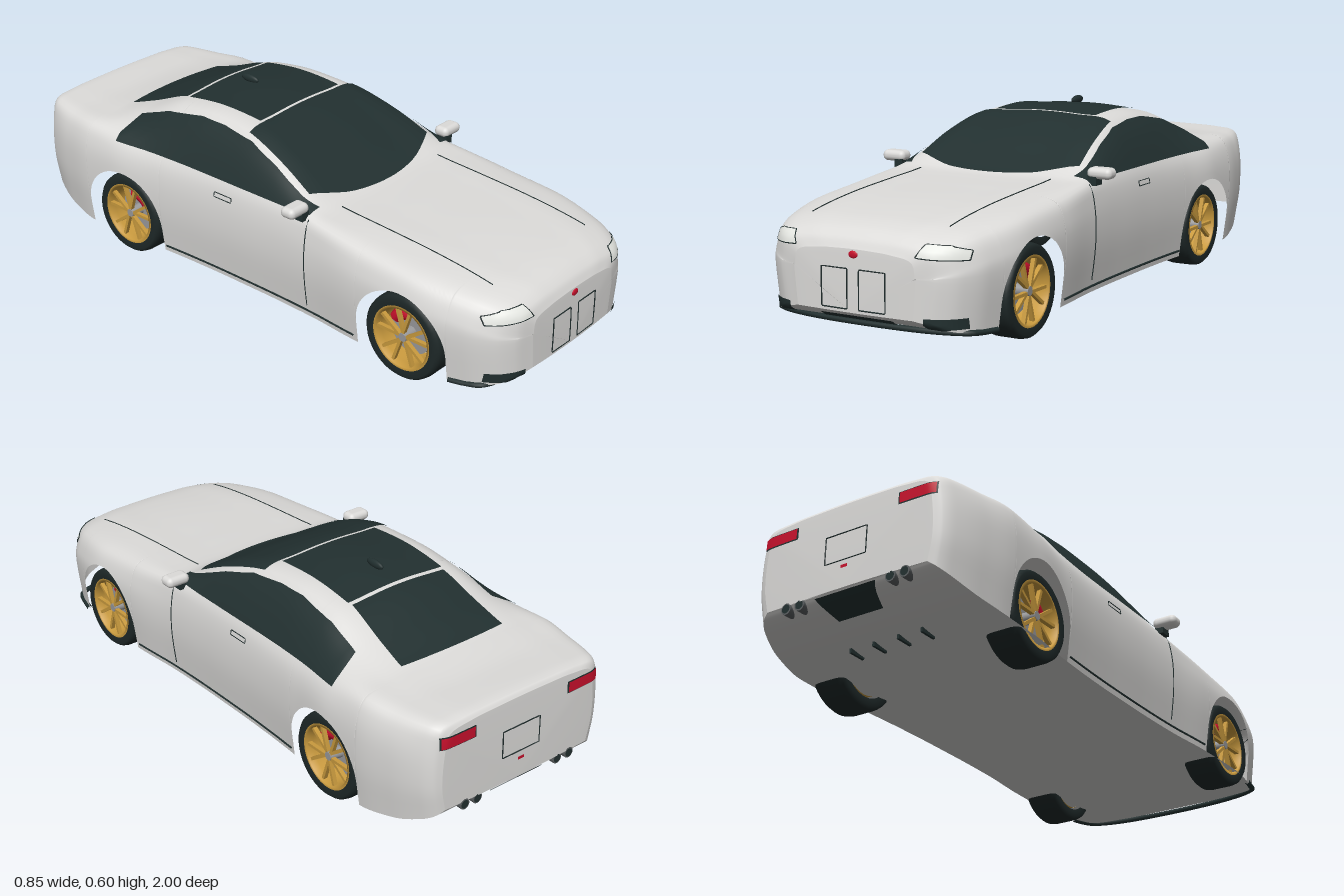
import * as THREE from 'three';
import { RoundedBoxGeometry } from 'three/addons/geometries/RoundedBoxGeometry.js';

const V = (x, y, z) => new THREE.Vector3(x, y, z);
const material = (name, color, side = THREE.FrontSide) =>
  Object.assign(new THREE.MeshStandardMaterial({ color, side }), { name });

// Body stations: z, half width, sill y, shoulder y, shoulder x, roof edge y, roof edge x, centre y
const STATIONS = [
  [0.989, 0.21, 0.108, 0.27, 0.198, 0.287, 0.125, 0.292],
  [0.972, 0.27, 0.095, 0.295, 0.25, 0.315, 0.165, 0.32],
  [0.93, 0.325, 0.076, 0.315, 0.295, 0.342, 0.185, 0.348],
  [0.85, 0.367, 0.066, 0.335, 0.33, 0.362, 0.22, 0.368],
  [0.65, 0.402, 0.06, 0.36, 0.365, 0.385, 0.25, 0.39],
  [0.45, 0.397, 0.06, 0.378, 0.365, 0.398, 0.27, 0.401],
  [0.27, 0.382, 0.06, 0.398, 0.357, 0.41, 0.285, 0.412],
  [0.20, 0.379, 0.06, 0.405, 0.354, 0.438, 0.295, 0.445],
  [0.05, 0.376, 0.06, 0.41, 0.352, 0.505, 0.275, 0.522],
  [-0.10, 0.376, 0.06, 0.412, 0.352, 0.547, 0.253, 0.568],
  [-0.25, 0.379, 0.06, 0.412, 0.353, 0.555, 0.247, 0.577],
  [-0.42, 0.388, 0.06, 0.415, 0.358, 0.537, 0.248, 0.563],
  [-0.60, 0.405, 0.06, 0.425, 0.368, 0.475, 0.26, 0.502],
  [-0.72, 0.405, 0.062, 0.43, 0.37, 0.446, 0.27, 0.457],
  [-0.85, 0.385, 0.08, 0.425, 0.35, 0.438, 0.26, 0.441],
  [-0.95, 0.352, 0.115, 0.425, 0.325, 0.438, 0.25, 0.443],
  [-0.983, 0.328, 0.135, 0.42, 0.305, 0.434, 0.23, 0.44],
  [-0.994, 0.305, 0.15, 0.405, 0.285, 0.422, 0.2, 0.427],
];
const WHEEL_Z = [0.63, -0.56], WHEEL_Y = 0.142, ARCH = 0.165;

// Smooth monotone interpolation of one station column
function channel(z, k) {
  const n = STATIONS.length - 1;
  let i = 0;
  while (i < n - 1 && z < STATIONS[i + 1][0]) i++;
  const sec = j => (STATIONS[j + 1][k] - STATIONS[j][k]) / (STATIONS[j + 1][0] - STATIONS[j][0]);
  const slope = j => {
    if (j === 0) return sec(0);
    if (j === n) return sec(n - 1);
    const a = sec(j - 1), b = sec(j);
    return a * b > 0 ? 2 * a * b / (a + b) : 0;
  };
  const h = STATIONS[i + 1][0] - STATIONS[i][0], t = (z - STATIONS[i][0]) / h, t2 = t * t, t3 = t2 * t;
  return (2 * t3 - 3 * t2 + 1) * STATIONS[i][k] + (t3 - 2 * t2 + t) * h * slope(i)
    + (3 * t2 - 2 * t3) * STATIONS[i + 1][k] + (t3 - t2) * h * slope(i + 1);
}

// Full cross-section from the left sill over the roof to the right sill
function section(z) {
  const [w, sill, sy, sx, ey, ex, cy] = [1, 2, 3, 4, 5, 6, 7].map(k => channel(z, k));
  const half = [[w * 0.95, sill], [w, 0.23], [w * 0.985, sy - 0.06], [sx, sy], [ex, ey], [ex / 2, (ey + 3 * cy) / 4]];
  return new THREE.CatmullRomCurve3([
    ...half.map(p => V(p[0], p[1], z)), V(0, cy, z), ...half.reverse().map(p => V(-p[0], p[1], z))]);
}

// Surface from rows and columns of points
function grid(nr, nc, fn) {
  const pos = [], idx = [];
  for (let r = 0; r <= nr; r++) for (let c = 0; c <= nc; c++) {
    pos.push(...fn(r, c).toArray());
    const a = r * (nc + 1) + c, b = a + nc + 1;
    if (r < nr && c < nc) idx.push(a, b, a + 1, b, b + 1, a + 1);
  }
  const g = new THREE.BufferGeometry();
  g.setAttribute('position', new THREE.Float32BufferAttribute(pos, 3));
  g.setIndex(idx);
  g.computeVertexNormals();
  return g;
}

// Body shell with open wheel arches and domed ends, and its floor
function bodyGeometries() {
  let zs = [];
  for (let i = 0; i <= 110; i++) zs.push(-0.0025 + 0.9915 * Math.cos(Math.PI * i / 110));
  for (const c of WHEEL_Z) {
    zs = zs.filter(z => Math.abs(z - c) > ARCH + 0.002);
    for (let i = 0; i <= 24; i++) zs.push(c + ARCH * Math.cos(Math.PI * i / 24));
    zs.push(c + ARCH + 0.0005, c - ARCH - 0.0005);
  }
  zs.sort((a, b) => b - a);
  const N = 56;
  const rows = zs.map(z => {
    const curve = section(z), c = WHEEL_Z.find(w => Math.abs(z - w) <= ARCH + 1e-6);
    let lo = 0, hi = 0;
    if (c !== undefined) { // start the section at the wheel arch
      const cut = WHEEL_Y + Math.sqrt(Math.max(0, ARCH ** 2 - (z - c) ** 2));
      hi = 0.3;
      for (let k = 0; k < 24; k++) {
        const m = (lo + hi) / 2;
        if (curve.getPoint(m).y < cut) lo = m; else hi = m;
      }
    }
    return Array.from({ length: N + 1 }, (_, j) => curve.getPoint(hi + (1 - 2 * hi) * j / N));
  });
  const dome = (ring, dir) => [0, 0.25, 0.5, 0.75, 0.92].map(f => ring.map(p =>
    V(p.x * f, ring[0].y + (p.y - ring[0].y) * f, p.z + dir * 0.006 * (1 - f * f))));
  const all = [...dome(rows[0], 1), ...rows, ...dome(rows[rows.length - 1], -1).reverse()];
  const shell = grid(all.length - 1, N, (r, c) => all[r][c]);
  const floor = grid(zs.length - 1, 4, (r, c) => {
    const p = section(zs[r]).getPoint(0);
    return V(p.x * (c / 2 - 1), p.y, zs[r]);
  });
  return [shell, floor];
}

export function createModel() {
  const paint = material('body paint', 0xdcdbd9, THREE.DoubleSide), under = material('underbody paint', 0xd2d1cf);
  const dark = material('dark glass and trim', 0x223030), rubber = material('tyre rubber', 0x1e2828);
  const gold = material('gold rim', 0xc99a3e, THREE.DoubleSide), steel = material('steel', 0x98989a);
  const red = material('red', 0xc8102c), lampGlass = material('lamp glass', 0xe9ebe6);
  const pipeMetal = material('exhaust metal', 0x5c6062);
  const car = new THREE.Group();
  car.name = 'car';
  const add = (name, geo, mat, parent = car, p = [0, 0, 0]) => {
    const m = new THREE.Mesh(geo, mat);
    m.name = name;
    m.position.set(...p);
    parent.add(m);
    return m;
  };
  const [shell, floor] = bodyGeometries();
  const hull = [add('body', shell, paint), add('floor', floor, under)];

  // Projection of flat coordinates onto the body
  const ray = new THREE.Raycaster();
  const AIM = {
    front: (x, y) => [V(x, y, 3), V(0, 0, -1)], back: (x, y) => [V(x, y, -3), V(0, 0, 1)],
    top: (x, z) => [V(x, 3, z), V(0, -1, 0)],
    left: (z, y) => [V(3, y, z), V(-1, 0, 0)], right: (z, y) => [V(-3, y, z), V(1, 0, 0)],
  };
  const project = (side, a, b, lift) => {
    ray.set(...AIM[side](a, b));
    const h = ray.intersectObjects(hull)[0];
    return h.point.clone().addScaledVector(h.face.normal, lift);
  };
  const drape = (name, side, mat, nr, nc, fn, lift = 0.004) => {
    const g = grid(nr, nc, (r, c) => project(side, ...fn(r / nr, c / nc), lift));
    const n = g.attributes.normal, mid = Math.floor(n.count / 2);
    if (V(0, 0, 0).fromBufferAttribute(n, mid).dot(AIM[side](0, 0)[1]) > 0) {
      g.index.array.reverse();
      g.computeVertexNormals();
    }
    return add(name, g, mat);
  };
  const rect = (x0, x1, y0, y1) => (r, c) => [x0 + (x1 - x0) * c, y0 + (y1 - y0) * r];
  const line = (name, side, pts, radius = 0.003, closed = false) => {
    const out = [], n = closed ? pts.length : pts.length - 1;
    for (let i = 0; i < n; i++) for (let k = 0; k < 10; k++) {
      const p = pts[i], q = pts[(i + 1) % pts.length], t = k / 10;
      out.push(project(side, p[0] + (q[0] - p[0]) * t, p[1] + (q[1] - p[1]) * t, 0.001));
    }
    if (!closed) out.push(project(side, ...pts[n], 0.001));
    const curve = new THREE.CatmullRomCurve3(out, closed, 'catmullrom', 0);
    add(name, new THREE.TubeGeometry(curve, out.length * 2, radius, 4, closed), dark);
  };
  const box = (x0, x1, y0, y1) => [[x0, y0], [x1, y0], [x1, y1], [x0, y1]];

  // Glass
  drape('windshield', 'top', dark, 20, 20, (r, c) => {
    const s = 2 * c - 1;
    return [s * (0.293 - 0.043 * r), (0.27 - 0.08 * s * s) * (1 - r) - 0.1 * r];
  });
  drape('roofGlass', 'top', dark, 14, 10, rect(-0.19, 0.19, -0.11, -0.432));
  drape('rearWindow', 'top', dark, 14, 10, (r, c) => {
    const s = 2 * c - 1;
    return [s * (0.185 + 0.02 * r), -0.445 - r * (0.262 - 0.012 * s * s)];
  });
  const windowTop = [[0.24, 0.418], [0.18, 0.44], [0.05, 0.495], [-0.07, 0.532], [-0.2, 0.545],
    [-0.3, 0.545], [-0.45, 0.52], [-0.575, 0.476], [-0.595, 0.43]];
  const topAt = z => {
    const i = Math.max(1, windowTop.findIndex(p => p[0] <= z + 1e-6));
    const [a, b] = [windowTop[i - 1], windowTop[i]];
    return a[1] + (b[1] - a[1]) * (a[0] - z) / (a[0] - b[0]);
  };

  for (const s of [1, -1]) {
    const side = s > 0 ? 'left' : 'right';
    drape(side + 'SideWindow', side, dark, 40, 8, (r, c) => {
      const z = 0.24 - 0.834 * r;
      return [z, 0.408 + (topAt(z) - 0.408) * c];
    });
    // Shut lines, handle and sill
    line('doorLine', side, [[0.245, 0.1], [0.245, 0.4]], 0.002);
    line('doorHandle', side, box(-0.15, -0.075, 0.35, 0.366), 0.0015, true);
    line('sillTrim', side, [[0.45, 0.08], [-0.385, 0.08]], 0.004);
    line('hoodLine', 'top', [[s * 0.24, 0.28], [s * 0.24, 0.86]], 0.002);

    // Wing mirrors
    add('mirror', new RoundedBoxGeometry(0.085, 0.036, 0.055, 4, 0.017), paint, car, [s * 0.382, 0.433, 0.21]);
    add('mirrorStalk', new THREE.BoxGeometry(0.03, 0.03, 0.04), dark, car, [s * 0.36, 0.41, 0.215]);

    // Lamps and intakes
    line('headlightOutline', 'front', [[s * 0.205, 0.287], [s * 0.225, 0.323], [s * 0.29, 0.32], [s * 0.335, 0.305], [s * 0.335, 0.28]], 0.002, true);
    drape('headlight', 'front', lampGlass, 4, 8, (r, c) => {
      const bottom = 0.287 - 0.007 * c, top = c < 0.6 ? 0.322 : 0.322 - 0.04 * (c - 0.6);
      return [s * (0.208 + 0.016 * r * (1 - c) + 0.124 * c), bottom + (top - bottom) * r];
    }, 0.002);
    drape('sideIntake', 'front', dark, 4, 6, rect(s * 0.23, s * 0.33, 0.085, 0.117));
    line('grilleOutline', 'front', box(s * 0.02, s * 0.11, 0.118, 0.235), 0.002, true);
    drape('tailLightFrame', 'back', dark, 3, 10, rect(s * 0.185, s * 0.316, 0.361, 0.401), 0.002);
    drape('tailLight', 'back', red, 3, 10, rect(s * 0.19, s * 0.312, 0.364, 0.398));

    // Exhausts and underfloor fins
    for (const x of [0.165, 0.215]) {
      const pipe = add('exhaust', new THREE.CylinderGeometry(0.018, 0.018, 0.07, 20), pipeMetal, car, [s * x, 0.14, -0.962]);
      pipe.rotation.x = Math.PI / 2;
      add('exhaustBore', new THREE.CircleGeometry(0.014, 20), dark, car, [s * x, 0.14, -0.998]).rotation.y = Math.PI;
    }
    for (const x of [0.045, 0.13])
      add('floorFin', new THREE.BoxGeometry(0.008, 0.02, 0.06), dark, car, [s * x, 0.066, -0.77]);

    // Wheels
    WHEEL_Z.forEach((z, k) => {
      const wheel = new THREE.Group();
      wheel.name = (k ? 'rear' : 'front') + 'Wheel';
      wheel.position.set(s * 0.32, WHEEL_Y, z);
      wheel.rotation.z = -s * Math.PI / 2;
      car.add(wheel);
      const lathe = (name, pts, mat) => add(name, new THREE.LatheGeometry(pts.map(p => new THREE.Vector2(...p)), 48), mat, wheel);
      lathe('tyre', [[0.105, -0.055], [0.13, -0.06], [0.139, -0.05], [0.142, -0.035], [0.142, 0.035], [0.139, 0.05], [0.13, 0.06], [0.105, 0.055]], rubber);
      lathe('rim', [[0.108, 0.056], [0.099, 0.056], [0.096, 0.03], [0.096, -0.05]], gold);
      add('brakeDisc', new THREE.CylinderGeometry(0.075, 0.075, 0.01, 36), steel, wheel);
      add('hub', new THREE.CylinderGeometry(0.014, 0.02, 0.05, 20), steel, wheel, [0, 0.025, 0]);
      for (let i = 0; i < 10; i++) {
        const a = Math.floor(i / 2) * Math.PI * 0.4, b = a + (i % 2 ? 0.26 : -0.26);
        const p = V(0.015 * Math.cos(a), 0, 0.015 * Math.sin(a)), q = V(0.098 * Math.cos(b), 0, 0.098 * Math.sin(b));
        const spoke = add('spoke', new THREE.BoxGeometry(p.distanceTo(q), 0.014, 0.01), gold, wheel,
          [(p.x + q.x) / 2, 0.042, (p.z + q.z) / 2]);
        spoke.rotation.y = -Math.atan2(q.z - p.z, q.x - p.x);
      }
      const arc = new THREE.TorusGeometry(0.064, 0.021, 8, 12, 1.1);
      arc.rotateZ(Math.PI / 2 - 0.55 + (k ? 0.4 : -0.4));
      add('brakeCaliper', arc, red, car, [s * 0.333, WHEEL_Y, z]).rotation.y = Math.PI / 2;
    });
  }

  // Front splitter, lower grille and badge
  const lip = [0.8, 0.85, 0.9].map(z => section(z).getPoint(0));
  const lipCurve = new THREE.CatmullRomCurve3([...lip, V(0.2, 0.07, 0.935), V(-0.2, 0.07, 0.935),
    ...lip.map(p => V(-p.x, p.y, p.z)).reverse()]);
  add('frontSplitter', new THREE.TubeGeometry(lipCurve, 60, 0.009, 6), dark);
  drape('lowerGrille', 'front', dark, 2, 10, rect(-0.125, 0.125, 0.084, 0.1));
  const badge = add('frontBadge', new THREE.SphereGeometry(1, 20, 10), red, car, project('front', 0, 0.277, 0).toArray());
  badge.scale.set(0.016, 0.011, 0.004);

  // Number plate outline, rear badge and diffuser
  line('plateOutline', 'back', box(-0.075, 0.075, 0.24, 0.33), 0.002, true);
  drape('rearBadge', 'back', red, 1, 2, rect(-0.012, 0.012, 0.212, 0.222));
  drape('diffuser', 'back', dark, 4, 6, (r, c) => [(2 * c - 1) * (0.08 + 0.03 * r), 0.1 + 0.046 * r]);

  // Roof antenna
  const fin = add('antenna', new THREE.SphereGeometry(1, 16, 10), dark, car, [0, 0.586, -0.335]);
  fin.scale.set(0.01, 0.014, 0.038);
  return car;
}
